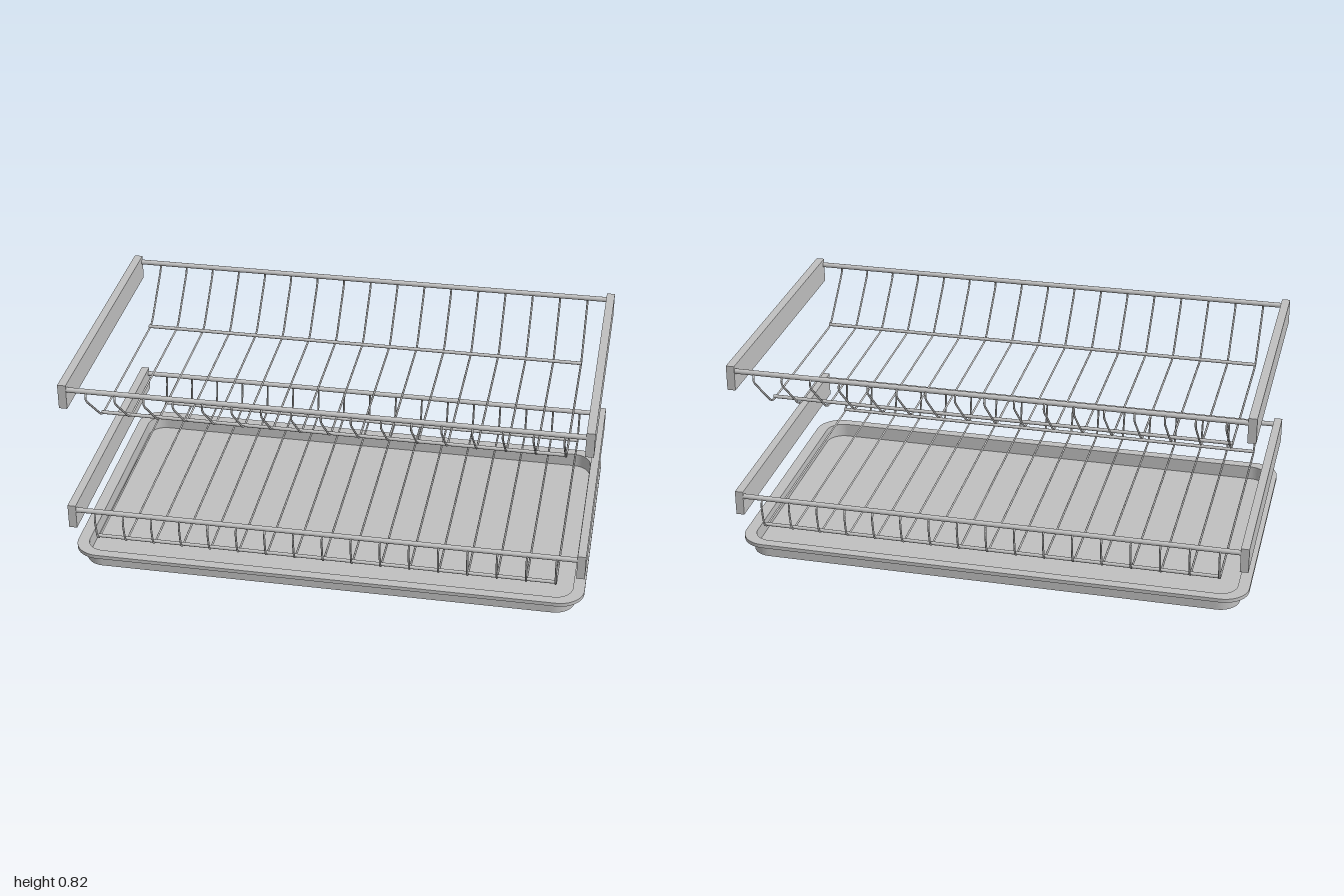
import * as THREE from 'three';

const steel = new THREE.MeshStandardMaterial({ color: 0xc0c0c0 });
steel.name = 'steel grey';

function add(parent, name, geometry, x = 0, y = 0, z = 0) {
  const mesh = new THREE.Mesh(geometry, steel);
  mesh.name = name;
  mesh.position.set(x, y, z);
  parent.add(mesh);
  return mesh;
}

// Rounded rectangle outline centred on the origin
function roundedRect(Type, hw, hd, r) {
  const s = new Type();
  s.absarc(hw - r, hd - r, r, 0, Math.PI / 2);
  s.absarc(-hw + r, hd - r, r, Math.PI / 2, Math.PI);
  s.absarc(-hw + r, -hd + r, r, Math.PI, Math.PI * 1.5);
  s.absarc(hw - r, -hd + r, r, Math.PI * 1.5, Math.PI * 2);
  s.closePath();
  return s;
}

// Horizontal slab, optionally a frame with an opening
function slab(outer, height, inner) {
  const shape = roundedRect(THREE.Shape, ...outer);
  if (inner) shape.holes.push(roundedRect(THREE.Path, ...inner));
  const g = new THREE.ExtrudeGeometry(shape, { depth: height, bevelEnabled: false, curveSegments: 10 });
  return g.rotateX(-Math.PI / 2);
}

// Polyline with softened corners, swept into a wire
function bentWire(points, bend, radius) {
  const path = new THREE.CurvePath();
  let from = points[0];
  for (let i = 1; i < points.length - 1; i++) {
    const p = points[i];
    const towards = (q) => {
      const d = p.distanceTo(q);
      return p.clone().lerp(q, Math.min(bend, d * 0.45) / d);
    };
    const a = towards(points[i - 1]);
    const b = towards(points[i + 1]);
    path.add(new THREE.LineCurve3(from, a));
    path.add(new THREE.QuadraticBezierCurve3(a, p, b));
    from = b;
  }
  path.add(new THREE.LineCurve3(from, points[points.length - 1]));
  return new THREE.TubeGeometry(path, 90, radius, 6, false);
}

function rod(length, radius) {
  return new THREE.CylinderGeometry(radius, radius, length, 12).rotateZ(Math.PI / 2);
}

// One wire shelf: side rails, top bars, cross wires and bottom rods
function createRack(name, railY, profile, rodZ, rodY) {
  const rack = new THREE.Group();
  rack.name = name;
  const mid = 0.003;

  for (const s of [-1, 1]) {
    add(rack, s > 0 ? 'leftRail' : 'rightRail',
      new THREE.BoxGeometry(0.032, 0.099, 1.101), s * 0.984, railY, mid);
    add(rack, s > 0 ? 'frontBar' : 'backBar',
      rod(1.94, 0.01), 0, railY + 0.027, mid + s * 0.54);
  }

  // Front half of the wire profile is mirrored to the back
  const front = profile.map(([z, y]) => new THREE.Vector3(0, y, mid + z));
  const back = profile.map(([z, y]) => new THREE.Vector3(0, y, mid - z)).reverse();
  const wire = bentWire([...front, ...back], 0.035, 0.004);
  for (let i = 0; i < 17; i++) add(rack, 'crossWire', wire, -0.892 + i * 0.1115);

  for (const z of rodZ) add(rack, 'bottomRod', rod(1.79, 0.007), 0, rodY, z);
  return rack;
}

export function createModel() {
  const model = new THREE.Group();
  model.name = 'dishRack';

  // Drip tray with floor, wall and flange
  const tray = new THREE.Group();
  tray.name = 'dripTray';
  model.add(tray);
  add(tray, 'trayFloor', slab([0.956, 0.518, 0.07], 0.01));
  add(tray, 'trayWall', slab([0.965, 0.527, 0.08], 0.052, [0.955, 0.517, 0.07]));
  add(tray, 'trayRim', slab([1, 0.556, 0.1], 0.015, [0.955, 0.517, 0.07]), 0, 0.051, 0);

  // Shallow lower shelf and sloped upper shelf
  model.add(createRack('lowerRack', 0.237,
    [[0.543, 0.266], [0.56, 0.24], [0.537, 0.129]], [0.52, -0.515], 0.138));
  model.add(createRack('upperRack', 0.774,
    [[0.543, 0.803], [0.562, 0.776], [0.372, 0.601]], [0.367, -0.337], 0.609));

  return model;
}
